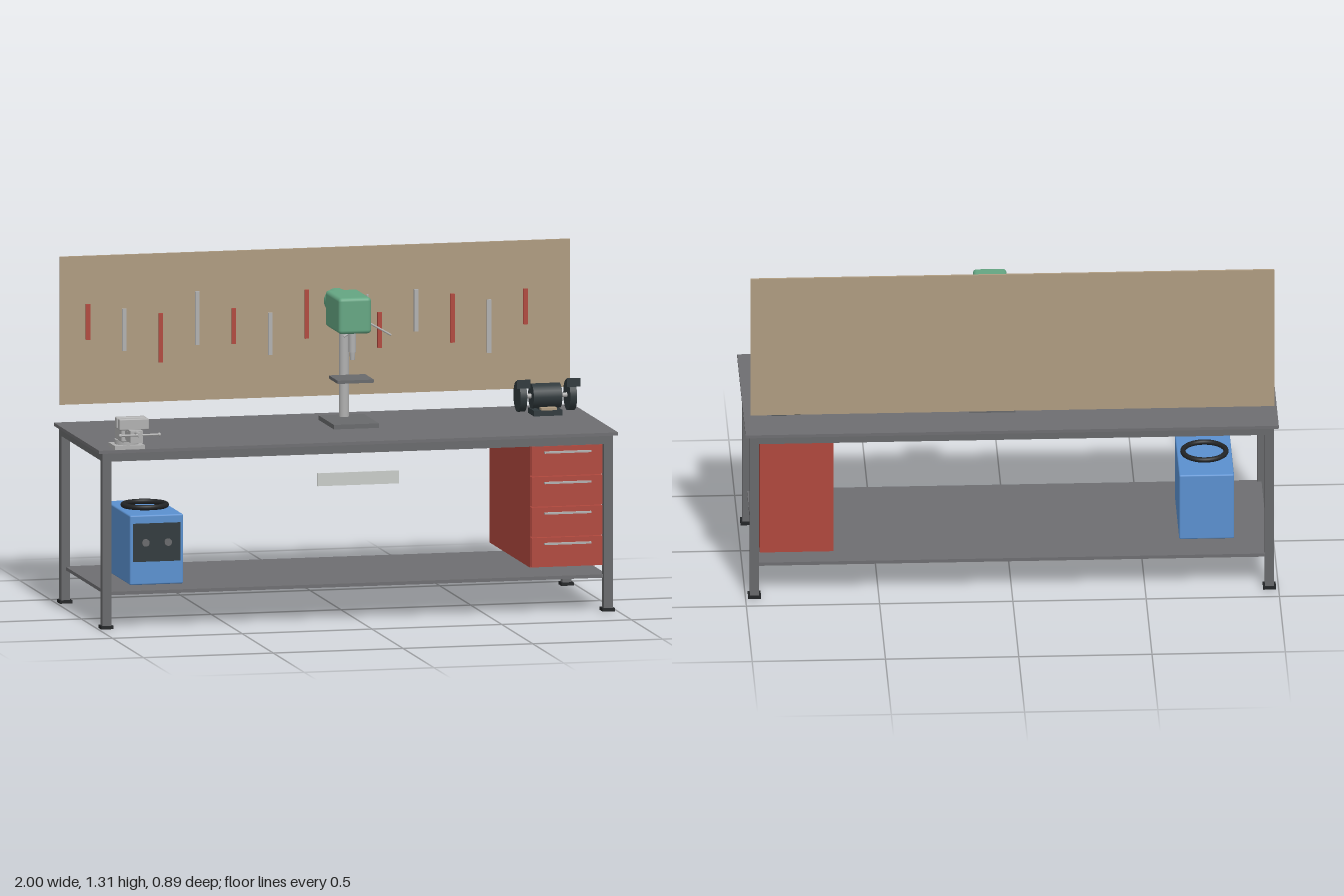
import * as THREE from 'three';
import { RoundedBoxGeometry } from 'three/addons/geometries/RoundedBoxGeometry.js';

const mat = (name, color) => {
  const m = new THREE.MeshStandardMaterial({ color });
  m.name = name;
  return m;
};

export function createModel() {
  const M = {
    top: mat('worktop grey', 0x6e6e71),
    frame: mat('frame grey', 0x68696b),
    black: mat('rubber black', 0x222426),
    red: mat('cabinet red', 0xb0483d),
    steel: mat('steel', 0xb0b0b0),
    pale: mat('pale plate', 0xc8cbc8),
    blue: mat('machine blue', 0x5a90cf),
    tan: mat('board tan', 0xae9b80),
    green: mat('machine green', 0x64a582),
    dark: mat('grinder charcoal', 0x30393c),
  };
  const model = new THREE.Group();
  model.name = 'workbench';

  const group = (name) => {
    const g = new THREE.Group();
    g.name = name;
    model.add(g);
    return g;
  };
  const add = (parent, name, geometry, material, x = 0, y = 0, z = 0) => {
    const m = new THREE.Mesh(geometry, material);
    m.name = name;
    m.position.set(x, y, z);
    parent.add(m);
    return m;
  };
  // Box given by its limits on each axis; r rounds its edges
  const box = (parent, name, material, [x0, x1], [y0, y1], [z0, z1], r = 0) => {
    const s = [x1 - x0, y1 - y0, z1 - z0];
    const g = r ? new RoundedBoxGeometry(...s, 3, r) : new THREE.BoxGeometry(...s);
    return add(parent, name, g, material, (x0 + x1) / 2, (y0 + y1) / 2, (z0 + z1) / 2);
  };
  // Cylinder between two points, r0 at the start and r1 at the end
  const rod = (parent, name, material, a, b, r0, r1 = r0, sides = 24) => {
    const p = new THREE.Vector3(...a), q = new THREE.Vector3(...b);
    const d = q.clone().sub(p);
    const m = add(parent, name, new THREE.CylinderGeometry(r1, r0, d.length(), sides), material);
    m.position.copy(p).add(q).multiplyScalar(0.5);
    m.quaternion.setFromUnitVectors(new THREE.Vector3(0, 1, 0), d.normalize());
    return m;
  };

  // Bench: worktop, legs, rails and lower shelf
  const bench = group('bench');
  box(bench, 'worktop', M.top, [-1, 1], [0.667, 0.679], [-0.447, 0.286]);
  box(bench, 'lowerShelf', M.top, [-0.965, 0.965], [0.125, 0.138], [-0.412, 0.252]);
  for (const x of [-0.966, 0.966]) {
    for (const z of [-0.413, 0.253]) {
      box(bench, 'leg', M.frame, [x - 0.017, x + 0.017], [0.01, 0.667], [z - 0.017, z + 0.017]);
      box(bench, 'foot', M.black, [x - 0.024, x + 0.024], [0, 0.012], [z - 0.024, z + 0.024]);
    }
    box(bench, 'sideRail', M.frame, [x - 0.016, x + 0.016], [0.634, 0.667], [-0.396, 0.236]);
  }
  for (const z of [-0.413, 0.253])
    box(bench, 'longRail', M.frame, [-0.949, 0.949], [0.634, 0.667], [z - 0.016, z + 0.016]);
  box(bench, 'frontPlate', M.pale, [-0.16, 0.155], [0.516, 0.565], [0.286, 0.29]);

  // Drawer cabinet
  const cabinet = group('drawerCabinet');
  box(cabinet, 'cabinetBody', M.red, [0.668, 0.945], [0.173, 0.634], [-0.397, 0.25]);
  for (let i = 0; i < 4; i++) {
    const y = 0.232 + i * 0.1155;
    box(cabinet, 'drawerFront', M.red, [0.67, 0.943], [y - 0.055, y + 0.055], [0.25, 0.271]);
    box(cabinet, 'drawerHandle', M.steel, [0.718, 0.898], [y + 0.029, y + 0.036], [0.271, 0.284]);
  }

  // Pegboard with a row of hanging tools
  const board = group('pegboard');
  box(board, 'panel', M.tan, [-0.984, 0.981], [0.75, 1.311], [-0.423, -0.414]);
  const lengths = [0.135, 0.16, 0.185, 0.202];
  for (let i = 0; i < 13; i++) {
    const x = -0.878 + i * 0.1405, y = 1.062 - (i % 3) * 0.035, h = lengths[i % 4] / 2;
    box(board, 'hangingTool', i % 2 ? M.steel : M.red,
      [x - 0.008, x + 0.008], [y - h, y + h], [-0.412, -0.402]);
  }

  // Drill press
  const drill = group('drillPress');
  const dx = 0.068;
  box(drill, 'drillBase', M.frame, [dx - 0.087, dx + 0.087], [0.679, 0.696], [-0.282, -0.033]);
  rod(drill, 'column', M.steel, [dx, 0.69, -0.236], [dx, 1.05, -0.236], 0.019);
  box(drill, 'drillTable', M.frame, [dx - 0.07, dx + 0.07], [0.849, 0.861], [-0.187, -0.045]);
  box(drill, 'drillHead', M.green, [dx - 0.063, dx + 0.063], [1.034, 1.171], [-0.277, -0.052], 0.014);
  rod(drill, 'motor', M.green, [dx, 1.117, -0.27], [dx, 1.117, -0.361], 0.048);
  rod(drill, 'quill', M.steel, [dx, 1.04, -0.101], [dx, 0.96, -0.101], 0.014);
  rod(drill, 'chuck', M.steel, [dx, 0.96, -0.101], [dx, 0.93, -0.101], 0.011, 0.009);
  for (const deg of [90, -30, 210]) {
    const t = THREE.MathUtils.degToRad(deg);
    rod(drill, 'feedHandle', M.steel, [0.138, 1.064, -0.15],
      [0.138 + 0.105 * Math.cos(t), 1.064 + 0.105 * Math.sin(t), -0.15], 0.004, 0.004, 10);
  }

  // Bench grinder
  const grinder = group('benchGrinder');
  const gx = 0.841, gy = 0.75, gz = -0.225;
  box(grinder, 'grinderBase', M.dark, [gx - 0.055, gx + 0.055], [0.679, 0.7], [-0.271, -0.177]);
  box(grinder, 'grinderFoot', M.dark, [gx - 0.03, gx + 0.03], [0.698, 0.725], [-0.25, -0.2]);
  rod(grinder, 'motorBody', M.dark, [gx - 0.055, gy, gz], [gx + 0.055, gy, gz], 0.047);
  rod(grinder, 'shaft', M.steel, [gx - 0.1, gy, gz], [gx + 0.1, gy, gz], 0.009);
  box(grinder, 'switchPlate', M.tan, [gx - 0.03, gx + 0.03], [0.703, 0.712], [-0.19, -0.158]);
  for (const s of [-1, 1]) {
    const x = gx + s * 0.096;
    rod(grinder, 'wheel', M.dark, [x - 0.013, gy, gz], [x + 0.013, gy, gz], 0.058, 0.058, 32);
    box(grinder, 'eyeShield', M.dark, [x - 0.026, x + 0.026], [0.787, 0.82], [-0.173, -0.17]);
  }

  // Vise on the front corner
  const vise = group('vise');
  const vx = -0.88;
  const viseBox = (name, w, y, z, r) => box(vise, name, M.steel, [vx - w, vx + w], y, z, r);
  viseBox('viseBase', 0.058, [0.679, 0.694], [0.173, 0.281]);
  rod(vise, 'swivel', M.steel, [vx, 0.694, 0.227], [vx, 0.712, 0.227], 0.045);
  viseBox('viseBody', 0.038, [0.71, 0.768], [0.19, 0.302], 0.006);
  viseBox('slide', 0.025, [0.725, 0.758], [0.29, 0.35]);
  viseBox('frontJawBody', 0.024, [0.72, 0.765], [0.31, 0.392]);
  viseBox('frontJaw', 0.057, [0.763, 0.805], [0.32, 0.35], 0.004);
  viseBox('rearJaw', 0.057, [0.763, 0.805], [0.271, 0.301], 0.004);
  rod(vise, 'screw', M.steel, [vx, 0.757, 0.38], [vx, 0.757, 0.447], 0.009);
  rod(vise, 'viseHandle', M.steel, [vx - 0.075, 0.757, 0.44], [vx + 0.075, 0.757, 0.44], 0.004, 0.004, 10);
  for (const s of [-1, 1])
    add(vise, 'handleKnob', new THREE.SphereGeometry(0.007, 12, 8), M.steel, vx + s * 0.075, 0.757, 0.44);

  // Blue power unit on the shelf with a coiled cable on top
  const unit = group('powerUnit');
  const ux = -0.737;
  box(unit, 'unitBody', M.blue, [ux - 0.103, ux + 0.103], [0.138, 0.402], [-0.273, 0.112], 0.006);
  box(unit, 'controlPanel', M.dark, [ux - 0.091, ux + 0.091], [0.226, 0.371], [0.108, 0.115]);
  for (const s of [-1, 1])
    rod(unit, 'knob', M.frame, [ux + s * 0.043, 0.298, 0.114], [ux + s * 0.043, 0.298, 0.121], 0.014);
  add(unit, 'cableCoil', new THREE.TorusGeometry(0.081, 0.01, 10, 40), M.black, ux, 0.413, -0.08)
    .rotation.x = Math.PI / 2;

  return model;
}
